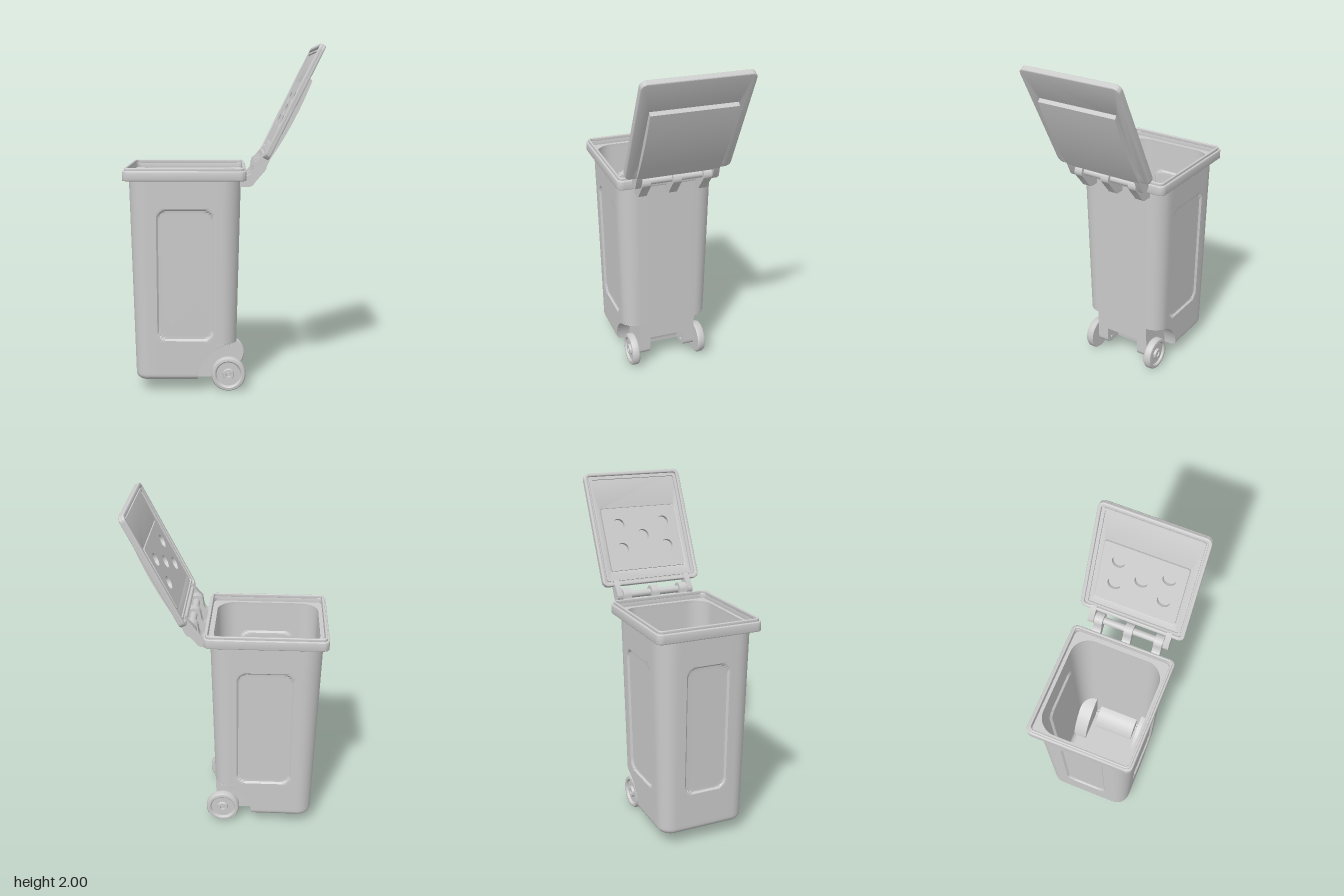
import * as THREE from 'three';
import { toCreasedNormals } from 'three/addons/utils/BufferGeometryUtils.js';

const mat = new THREE.MeshStandardMaterial({ color: 0xcccccc, side: THREE.DoubleSide });
const BASE = 0.07, TOP = 1.25, WALL = 0.02;

function add(parent, name, geo, x = 0, y = 0, z = 0) {
  const m = new THREE.Mesh(geo, mat);
  m.name = name;
  m.position.set(x, y, z);
  parent.add(m);
  return m;
}

// Rounded rectangle from x0 to x1, half depth hz
function roundRect(x0, x1, hz, r, Type = THREE.Shape) {
  const s = new Type();
  s.absarc(x1 - r, hz - r, r, 0, Math.PI / 2);
  s.absarc(x0 + r, hz - r, r, Math.PI / 2, Math.PI);
  s.absarc(x0 + r, -hz + r, r, Math.PI, Math.PI * 1.5);
  s.absarc(x1 - r, -hz + r, r, Math.PI * 1.5, Math.PI * 2);
  s.closePath();
  return s;
}

// Extrude a plan shape between two heights, with a small rounded edge
function slab(shape, y0, y1, holes = [], b = 0) {
  shape.holes.push(...holes);
  const g = new THREE.ExtrudeGeometry(shape, {
    depth: y1 - y0 - 2 * b, curveSegments: 10, bevelEnabled: b > 0,
    bevelSize: b, bevelThickness: b, bevelOffset: -b, bevelSegments: 3,
  });
  g.translate(0, 0, b).rotateX(-Math.PI / 2).translate(0, y0, 0);
  return toCreasedNormals(g, 0.7);
}

// Extrude a side profile along z, centred on zero
function sideExtrude(shape, width) {
  const g = new THREE.ExtrudeGeometry(shape, { depth: width, bevelEnabled: false, curveSegments: 16 });
  return toCreasedNormals(g.translate(0, 0, -width / 2), 0.6);
}

function range(a, b, n) {
  return Array.from({ length: n + 1 }, (_, i) => a + (b - a) * i / n);
}

// Depth of a recessed panel with rounded corners
function panelDepth(u, v, hu) {
  const r = 0.06, qx = Math.abs(u) - hu + r, qy = Math.abs(v - 0.695) - 0.385 + r;
  const d = Math.hypot(Math.max(qx, 0), Math.max(qy, 0)) + Math.min(Math.max(qx, qy), 0) - r;
  return 0.012 * THREE.MathUtils.smoothstep(-d, 0, 0.012);
}

const sideX = [...range(-0.045, -0.125, 8), ...range(-0.31, -0.39, 8)];
const frontZ = [...range(0.14, 0.06, 8), 0];

// Horizontal outline of the bin at height y, inset by t, with wheel wells and rear recess
function outline(y, t) {
  const f = (y - BASE) / (TOP - BASE), h = y - BASE;
  const k = Math.max(0, 0.035 - (h - t));
  const inset = t + 0.035 - Math.sqrt(Math.max(0, 0.035 ** 2 - k * k));
  const rear = 0.07 + 0.03 * f, xr = rear - inset, xf = -0.51 - 0.03 * f + inset;
  const zo = 0.262 + 0.028 * f - inset, zw = 0.18 - t, r = zo - zw;
  const cut = R => Math.min(xr, rear - Math.sqrt(Math.max(0, (R + t) ** 2 - h * h)));
  const xw = cut(0.22), xe = cut(0.115);
  const a0 = Math.acos(THREE.MathUtils.clamp((xw - xr + r) / r, 0, 1));
  const half = [[xe, 0], [xe, 0.11 + t], [xr, 0.11 + t], [xr, zw], [xw, zw]];
  for (const a of range(a0, Math.PI / 2, 10))
    half.push([Math.min(xw, xr - r + r * Math.cos(a)), zo - r + r * Math.sin(a)]);
  for (const x of sideX) half.push([Math.min(x, xw), zo - panelDepth(x + 0.2175, y, 0.163)]);
  for (const a of range(0, Math.PI / 2, 10))
    half.push([xf + r - r * Math.sin(a), zo - r + r * Math.cos(a)]);
  for (const z of frontZ) half.push([xf + panelDepth(z, y, 0.13), z]);
  return half.concat(half.slice(1, -1).reverse().map(([x, z]) => [x, -z]));
}

// Loft the outlines into one skin of the bin
function shell(t) {
  const arcs = range(0, Math.PI / 2, 14).flatMap(a => [0.22, 0.115].map(R => BASE + (R + t) * Math.sin(a)));
  const fillet = range(0, Math.PI / 2, 6).map(a => BASE + t + 0.035 * (1 - Math.cos(a)));
  const rows = [...arcs, ...fillet, ...range(0.3, 0.39, 9), 0.55, 0.8, ...range(1.0, 1.09, 9), TOP]
    .filter(y => y >= BASE + t - 1e-6).sort((a, b) => a - b).filter((y, i, l) => !i || y - l[i - 1] > 1e-5);
  const pos = [], idx = [];
  let n = 0;
  rows.forEach((y, i) => {
    const ring = outline(y, t);
    n = ring.length;
    for (const [x, z] of ring) pos.push(x, y, z);
    if (!i) return;
    for (let j = 0; j < n; j++) {
      const a = (i - 1) * n + j, b = (i - 1) * n + (j + 1) % n;
      if (t) idx.push(a, b, a + n, b, b + n, a + n);
      else idx.push(a, a + n, b, b, a + n, b + n);
    }
  });
  const g = new THREE.BufferGeometry();
  g.setAttribute('position', new THREE.Float32BufferAttribute(pos, 3));
  g.setIndex(idx);
  return toCreasedNormals(g, 0.6);
}

function floor(t) {
  const pts = outline(BASE + t, t).map(p => new THREE.Vector2(...p));
  return new THREE.ShapeGeometry(new THREE.Shape(pts)).rotateX(Math.PI / 2).translate(0, BASE + t, 0);
}

function makeWheel() {
  const w = new THREE.Group();
  w.name = 'wheel';
  const profile = [[0.014, -0.022], [0.08, -0.022], [0.094, -0.022], [0.1, -0.014], [0.1, 0.014], [0.094, 0.024],
    [0.08, 0.026], [0.074, 0.022], [0.07, 0.012], [0.034, 0.012], [0.03, 0.026], [0.016, 0.026], [0.014, 0.014], [0.014, -0.022]]
    .map(p => new THREE.Vector2(...p));
  add(w, 'tyre', toCreasedNormals(new THREE.LatheGeometry(profile, 40).rotateX(Math.PI / 2), 0.6));
  add(w, 'axlePin', new THREE.CylinderGeometry(0.011, 0.011, 0.13, 16).rotateX(Math.PI / 2), 0, 0, -0.045);
  return w;
}

function makeLid() {
  const lid = new THREE.Group();
  lid.name = 'lid';
  const L = 0.7, pad = () => [0.09, 0.475, 0.24, 0.012];
  add(lid, 'lidPlate', slab(roundRect(0, L, 0.312, 0.035), -0.018, 0.002, [roundRect(...pad(), THREE.Path)], 0.006));
  add(lid, 'lidRim', slab(roundRect(0, L, 0.312, 0.035), -0.006, 0.017, [roundRect(0.02, L - 0.02, 0.292, 0.02, THREE.Path)], 0.004));
  add(lid, 'lidSeal', slab(roundRect(0.03, L - 0.03, 0.282, 0.015), 0, 0.011, [roundRect(0.042, L - 0.042, 0.27, 0.01, THREE.Path)]));
  // Inner pad with five round sockets
  const sockets = [[0.22, 0.145], [0.22, -0.145], [0.37, 0.145], [0.37, -0.145], [0.295, 0]]
    .map(([x, z]) => new THREE.Path().absarc(x, z, 0.038, 0, Math.PI * 2));
  add(lid, 'lidPad', slab(roundRect(...pad()), -0.03, 0.007, sockets));
  // Curved bulge on the outside
  const s = new THREE.Shape();
  s.moveTo(0, -0.014);
  s.lineTo(0.002, -0.027);
  s.quadraticCurveTo(0.25, -0.062, 0.5, -0.039);
  s.lineTo(0.512, -0.014);
  add(lid, 'lidBulge', sideExtrude(s, 0.49));
  lid.position.set(0.235, 1.365, 0);
  lid.rotation.z = Math.atan2(2, 1);
  return lid;
}

function makeHinge() {
  const hinge = new THREE.Group();
  hinge.name = 'hinge';
  const px = 0.205, py = 1.314;
  add(hinge, 'hingeBar', new THREE.CylinderGeometry(0.021, 0.021, 0.47, 24).rotateX(Math.PI / 2), px, py);
  // Brackets fixed to the bin
  const s = new THREE.Shape();
  s.moveTo(0.09, 1.2);
  s.lineTo(0.145, 1.2);
  s.quadraticCurveTo(0.165, 1.2, 0.178, 1.222);
  s.lineTo(px + 0.034, py - 0.02);
  s.absarc(px, py, 0.04, -0.5, Math.PI * 0.97);
  s.quadraticCurveTo(0.163, 1.265, 0.13, 1.262);
  s.lineTo(0.09, 1.262);
  for (const z of [-0.182, 0, 0.182]) add(hinge, 'hingeBracket', sideExtrude(s, 0.05), 0, 0, z);
  // Arms fixed to the lid
  const a = new THREE.Shape();
  a.absarc(px, py, 0.034, Math.PI * 0.85, Math.PI * 1.85);
  a.lineTo(0.275, 1.385);
  a.lineTo(0.235, 1.4);
  for (const z of [-0.228, 0.228]) add(hinge, 'lidArm', sideExtrude(a, 0.034), 0, 0, z);
  return hinge;
}

export function createModel() {
  const model = new THREE.Group();
  model.name = 'wheeledBin';

  add(model, 'binOuterWall', shell(0));
  add(model, 'binInnerWall', shell(WALL));
  add(model, 'binUnderside', floor(0));
  add(model, 'binFloor', floor(WALL));

  // Stepped rim around the opening
  add(model, 'rimBand', slab(roundRect(-0.567, 0.13, 0.313, 0.035), 1.242, 1.298,
    [roundRect(-0.543, 0.108, 0.289, 0.03, THREE.Path)], 0.005));
  add(model, 'rimLip', slab(roundRect(-0.556, 0.12, 0.302, 0.028), 1.29, 1.314,
    [roundRect(-0.543, 0.108, 0.289, 0.02, THREE.Path)], 0.004));
  add(model, 'rimLedge', slab(roundRect(-0.55, 0.115, 0.296, 0.03), 1.243, 1.268,
    [roundRect(-0.52, 0.08, 0.27, 0.11, THREE.Path)]));

  // Wheels in the rear corners
  for (const side of [1, -1]) {
    const w = makeWheel();
    w.position.set(0.03, 0.1, 0.215 * side);
    if (side < 0) w.rotation.y = Math.PI;
    model.add(w);
    // L-shaped foot under the front edge
    add(model, 'footLong', new THREE.BoxGeometry(0.025, 0.03, 0.1), -0.415, 0.062, 0.085 * side);
    add(model, 'footShort', new THREE.BoxGeometry(0.09, 0.03, 0.025), -0.37, 0.062, 0.1225 * side);
  }

  model.add(makeHinge(), makeLid());
  return model;
}
